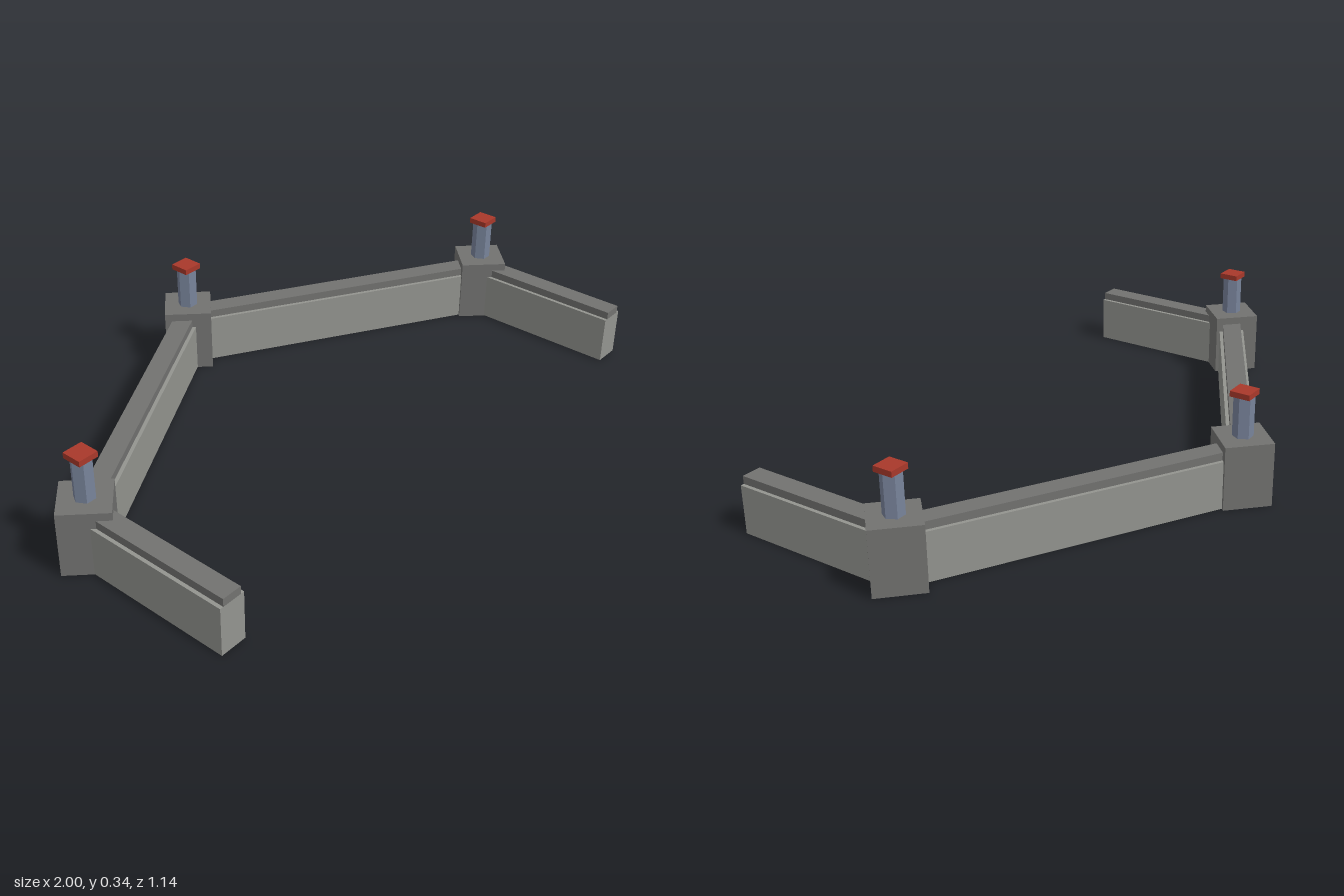
import * as THREE from 'three';

const mat = (name, color) => {
  const m = new THREE.MeshStandardMaterial({ color });
  m.name = name;
  return m;
};

export function createModel() {
  const model = new THREE.Group();
  model.name = 'fortressWall';

  const wallStone = mat('light stone', 0x93948f);
  const darkStone = mat('dark stone', 0x727270);
  const steel = mat('blue grey steel', 0x78839a);
  const red = mat('red', 0xa8382a);
  steel.flatShading = darkStone.flatShading = true;

  const add = (parent, name, geometry, material, y) => {
    const mesh = new THREE.Mesh(geometry, material);
    mesh.name = name;
    mesh.position.y = y;
    parent.add(mesh);
    return mesh;
  };

  // Straight wall with a narrower coping, running between two [x, z] points
  const addWall = (name, a, b) => {
    const dx = b[0] - a[0], dz = b[1] - a[1], length = Math.hypot(dx, dz);
    const wall = new THREE.Group();
    wall.name = name;
    wall.position.set((a[0] + b[0]) / 2, 0, (a[1] + b[1]) / 2);
    wall.rotation.y = Math.atan2(dx, dz);
    add(wall, 'wallBody', new THREE.BoxGeometry(0.083, 0.149, length), wallStone, 0.0755);
    add(wall, 'coping', new THREE.BoxGeometry(0.061, 0.024, length), darkStone, 0.162);
    model.add(wall);
  };

  // Diamond bastion carrying a hexagonal post with a square cap
  const addBastion = (name, [x, z]) => {
    const bastion = new THREE.Group();
    bastion.name = name;
    bastion.position.set(x, 0, z);
    add(bastion, 'bastionBlock', new THREE.CylinderGeometry(0.103, 0.103, 0.198, 4), darkStone, 0.099);
    const post = add(bastion, 'post', new THREE.CylinderGeometry(0.031, 0.031, 0.125, 6), steel, 0.26);
    post.rotation.y = Math.PI / 2;
    add(bastion, 'postCap', new THREE.BoxGeometry(0.062, 0.017, 0.062), red, 0.331);
    model.add(bastion);
  };

  const rear = [0, -0.467];
  addBastion('rearBastion', rear);
  for (const [side, s] of [['left', 1], ['right', -1]]) {
    const corner = [s * 0.897, 0.053];
    addBastion(side + 'Bastion', corner);
    addWall(side + 'RearWall', corner, rear);
    addWall(side + 'FrontWall', corner, [s * 0.897, 0.57]);
  }
  return model;
}
